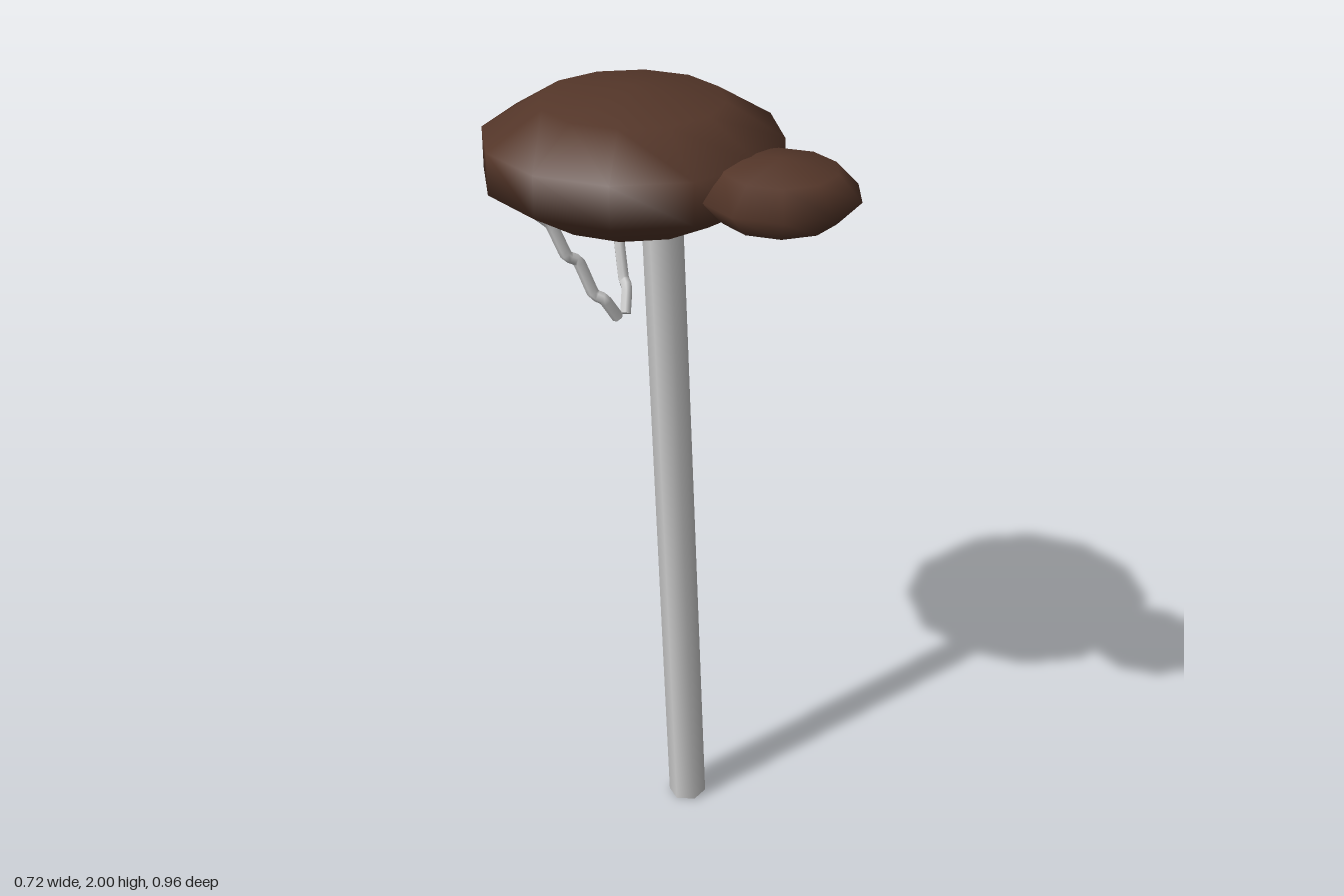
import * as THREE from 'three';

const grey = new THREE.MeshStandardMaterial({ color: 0xcccccc });
const brown = new THREE.MeshStandardMaterial({ color: 0x543629 });

function addMesh(parent, name, geometry, material) {
  const mesh = new THREE.Mesh(geometry, material);
  mesh.name = name;
  parent.add(mesh);
  return mesh;
}

// Squashed low-sided ball of leaves
function addCrown(parent, name, radius, halfHeight, sides, rows, position) {
  const geometry = new THREE.SphereGeometry(1, sides, rows);
  geometry.scale(radius, halfHeight, radius);
  addMesh(parent, name, geometry, brown).position.set(...position);
}

// Crooked branch: a tube with a disc closing each end
function makeBranch(name, side) {
  const branch = new THREE.Group();
  branch.name = name;
  const points = [
    [0.015, 1.405, -0.16], [0.045, 1.46, -0.178], [0.06, 1.475, -0.2],
    [0.08, 1.56, -0.228], [0.105, 1.58, -0.245], [0.126, 1.66, -0.272],
    [0.15, 1.69, -0.295], [0.165, 1.725, -0.305],
  ].map(([x, y, z]) => new THREE.Vector3(x * side, y, z));
  const curve = new THREE.CatmullRomCurve3(points, false, 'catmullrom', 0.2);
  addMesh(branch, 'branchTube', new THREE.TubeGeometry(curve, 28, 0.015, 6), grey);
  for (const t of [0, 1]) {
    const cap = addMesh(branch, 'branchEnd', new THREE.CircleGeometry(0.015, 6), grey);
    const outward = curve.getTangentAt(t).multiplyScalar(t ? 1 : -1);
    cap.position.copy(curve.getPointAt(t));
    cap.quaternion.setFromUnitVectors(new THREE.Vector3(0, 0, 1), outward);
  }
  return branch;
}

export function createModel() {
  const tree = new THREE.Group();
  tree.name = 'tree';

  // Leaning six-sided trunk
  const foot = new THREE.Vector3(0, 0.003, 0.05);
  const head = new THREE.Vector3(0, 1.7, -0.033);
  const axis = head.clone().sub(foot);
  const trunkGeometry = new THREE.CylinderGeometry(0.05, 0.05, axis.length(), 6);
  trunkGeometry.rotateY(Math.PI / 6);
  const trunk = addMesh(tree, 'trunk', trunkGeometry, grey);
  trunk.position.copy(foot).lerp(head, 0.5);
  trunk.quaternion.setFromUnitVectors(new THREE.Vector3(0, 1, 0), axis.normalize());

  // Leaves
  addCrown(tree, 'mainCrown', 0.378, 0.165, 12, 5, [0, 1.835, -0.12]);
  addCrown(tree, 'frontCrown', 0.189, 0.082, 10, 4, [0, 1.832, 0.298]);

  // Mirrored pair of branches behind the trunk
  tree.add(makeBranch('leftBranch', 1), makeBranch('rightBranch', -1));
  return tree;
}
